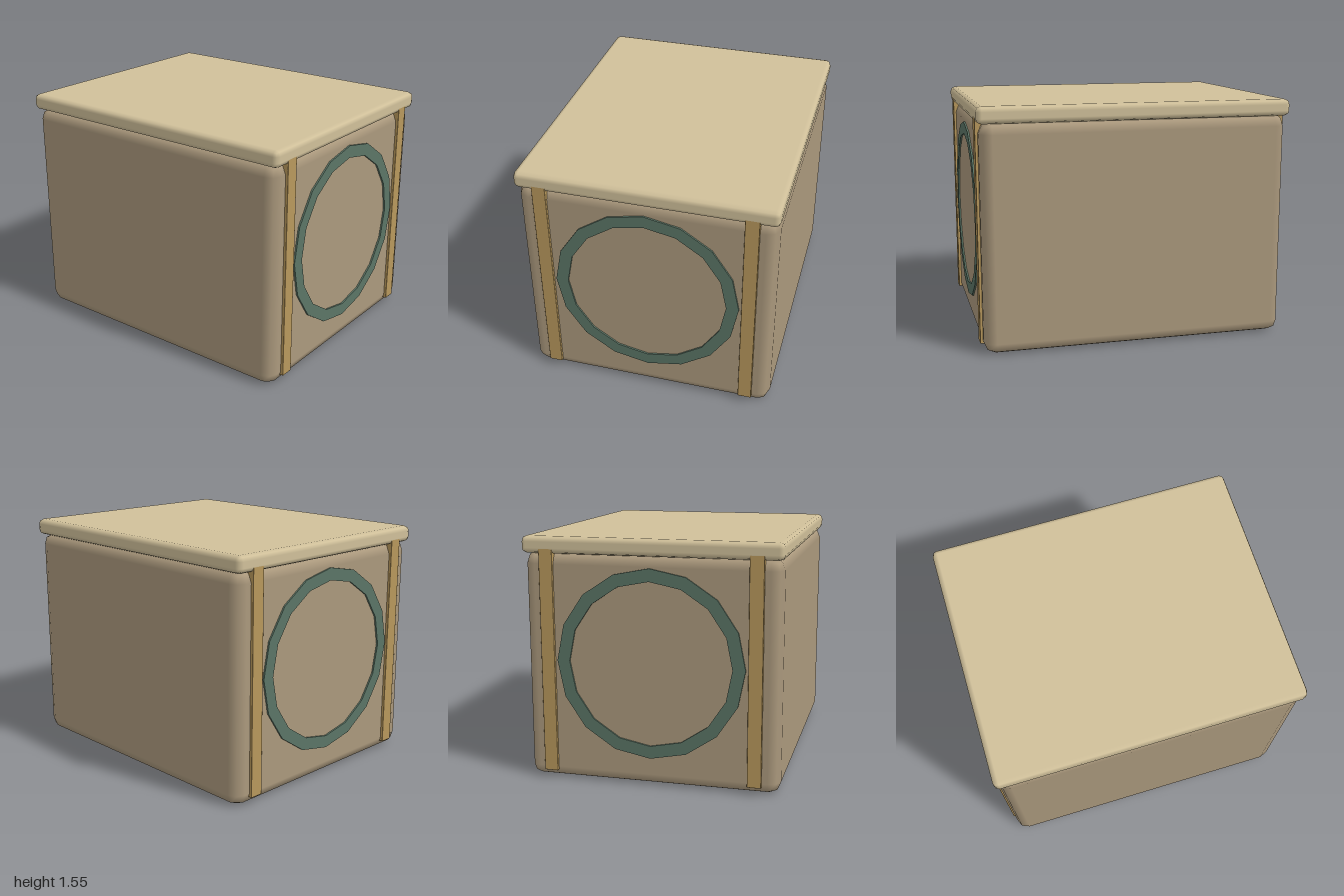
import * as THREE from 'three';
import { RoundedBoxGeometry } from 'three/addons/geometries/RoundedBoxGeometry.js';

export function createModel() {
  const group = new THREE.Group();
  const bodyMat = new THREE.MeshStandardMaterial({ color: 0xab997d });
  const lidMat = new THREE.MeshStandardMaterial({ color: 0xd0c09a });
  const strapMat = new THREE.MeshStandardMaterial({ color: 0xb8985c });
  const ringMat = new THREE.MeshStandardMaterial({ color: 0x5b7566, flatShading: true });

  const add = (name, geometry, material, parent, x, y, z) => {
    const mesh = new THREE.Mesh(geometry, material);
    mesh.name = name;
    mesh.position.set(x, y, z);
    parent.add(mesh);
    return mesh;
  };

  // Bevelled crate body and overhanging lid
  add('body', new RoundedBoxGeometry(1.615, 1.45, 1.96, 1, 0.075), bodyMat, group, 0, 0.725, 0);
  add('lid', new RoundedBoxGeometry(1.63, 0.107, 2, 1, 0.034), lidMat, group, 0, 1.492, 0);

  // Sixteen-sided flat ring
  const ringShape = new THREE.Shape();
  ringShape.absarc(0, 0, 0.594, 0, Math.PI * 2, false);
  const hole = new THREE.Path();
  hole.absarc(0, 0, 0.514, 0, Math.PI * 2, true);
  ringShape.holes.push(hole);
  const ringGeo = new THREE.ExtrudeGeometry(ringShape, {
    depth: 0.03, bevelEnabled: false, curveSegments: 8,
  });
  const strapGeo = new RoundedBoxGeometry(0.088, 1.422, 0.05, 1, 0.004);

  // Both ends carry a ring between two upright straps
  for (const [name, turn] of [['frontEnd', 0], ['backEnd', Math.PI]]) {
    const end = new THREE.Group();
    end.name = name;
    end.rotation.y = turn;
    add('ring', ringGeo, ringMat, end, 0, 0.776, 0.961);
    add('leftStrap', strapGeo, strapMat, end, 0.654, 0.763, 0.973);
    add('rightStrap', strapGeo, strapMat, end, -0.654, 0.763, 0.973);
    group.add(end);
  }
  return group;
}
